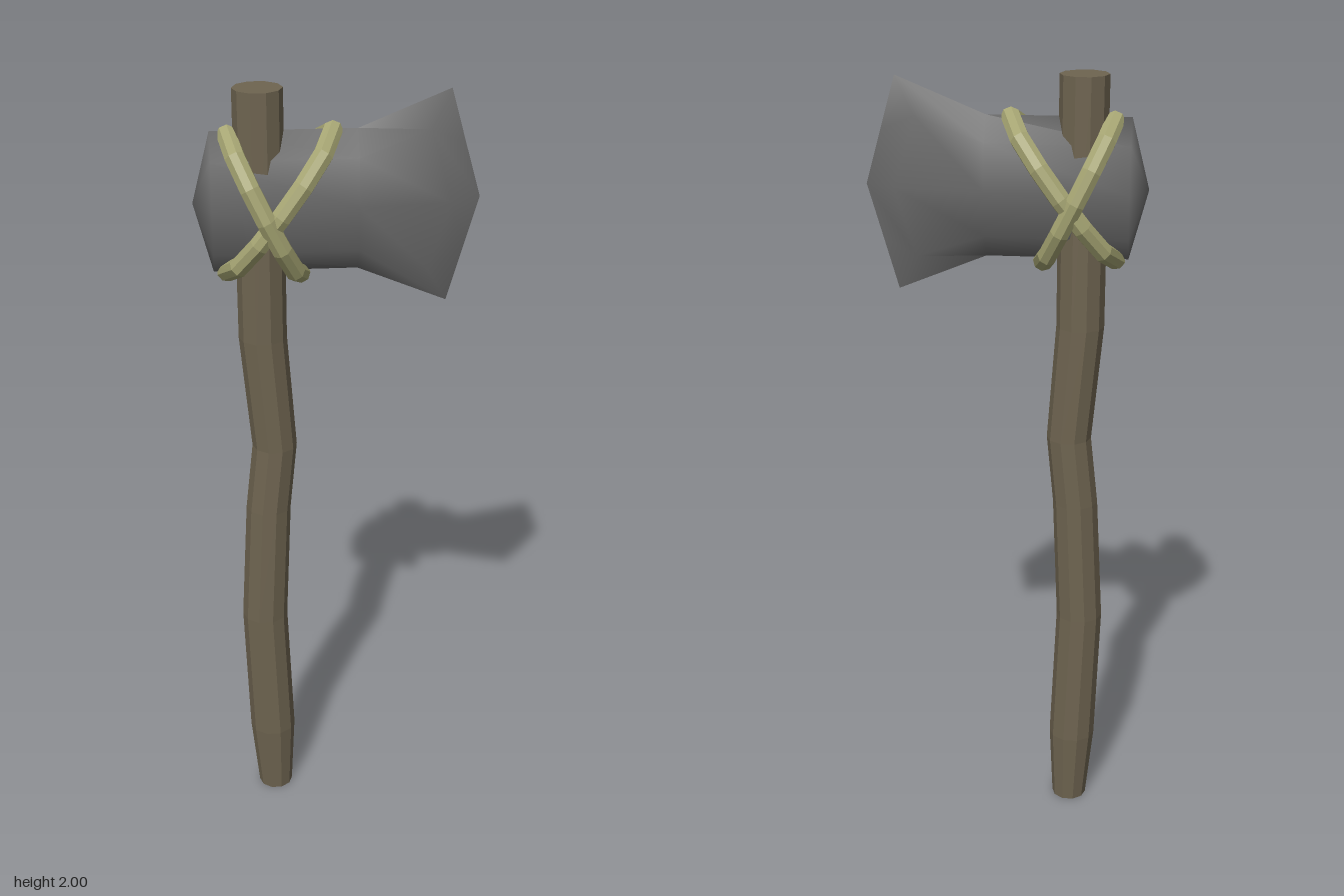
import * as THREE from 'three';
import { toCreasedNormals } from 'three/addons/utils/BufferGeometryUtils.js';

const wood = new THREE.MeshStandardMaterial({ color: 0x6e6450, flatShading: true });
const stone = new THREE.MeshStandardMaterial({ color: 0x696969 });
const cord = new THREE.MeshStandardMaterial({ color: 0xa6a573, flatShading: true });

function addMesh(group, name, geometry, material) {
  const mesh = new THREE.Mesh(geometry, material);
  mesh.name = name;
  group.add(mesh);
}

// Crooked ten-sided stick: each ring is [height, centre x, radius]
function handleGeometry() {
  const rings = [
    [0, -0.177, 0.046], [0.2, -0.182, 0.061], [0.57, -0.196, 0.06], [0.9, -0.18, 0.058],
    [1.08, -0.161, 0.057], [1.38, -0.185, 0.06], [2, -0.185, 0.06],
  ];
  const n = rings.length - 1;
  const geo = new THREE.CylinderGeometry(1, 1, 1, 10, n, false, Math.PI / 2);
  const pos = geo.attributes.position;
  for (let i = 0; i < pos.count; i++) {
    const [y, cx, r] = rings[Math.round((pos.getY(i) + 0.5) * n)];
    pos.setXYZ(i, cx + pos.getX(i) * r, y, pos.getZ(i) * r);
  }
  geo.computeVertexNormals();
  return geo;
}

// Stone head: lens-shaped sections from the poll to the cutting edge.
// Each holds five [x, y, z] points down the front; the back mirrors them.
function headGeometry() {
  const midY = 1.727;
  const section = (ridge, shoulder, middle) => {
    const down = ([x, y, z]) => [x, 2 * midY - y, z];
    const front = [ridge, shoulder, middle, down(shoulder), down(ridge)];
    const back = [3, 2, 1].map((i) => [front[i][0], front[i][1], -front[i][2]]);
    return [...front, ...back];
  };
  const poll = [-0.345, midY, 0];
  const rings = [
    section(poll, poll, poll),
    section([-0.3, 1.9, 0], [-0.3, 1.84, 0.055], [-0.3, midY, 0.076]),
    section([0.05, 1.9, 0], [0.05, 1.84, 0.046], [0.05, midY, 0.066]),
    section([0.27, 1.99, 0], [0.22, 1.9, 0.027], [0.27, midY, 0.045]),
    section([0.27, 1.99, 0], [0.307, 1.86, 0], [0.345, midY, 0]),
  ];
  const n = rings[0].length;
  const index = [];
  for (let i = 0; i < rings.length - 1; i++) {
    for (let j = 0; j < n; j++) {
      const k = (j + 1) % n;
      const a = i * n + j, b = i * n + k, c = b + n, d = a + n;
      index.push(a, b, c, a, c, d);
    }
  }
  const geo = new THREE.BufferGeometry();
  geo.setAttribute('position', new THREE.Float32BufferAttribute(rings.flat(2), 3));
  geo.setIndex(index);
  return toCreasedNormals(geo, 1.75);
}

// Oval cord loop, tilted in the xy plane between its upper and lower ends
function loopGeometry(upper, lower, depth) {
  const top = new THREE.Vector3(...upper, 0);
  const bottom = new THREE.Vector3(...lower, 0);
  const centre = top.clone().add(bottom).multiplyScalar(0.5);
  const half = top.clone().sub(centre);
  const points = [];
  for (let i = 0; i < 12; i++) {
    const t = (i / 12) * Math.PI * 2;
    const p = centre.clone().addScaledVector(half, Math.cos(t));
    p.z = Math.sin(t) * depth;
    points.push(p);
  }
  const curve = new THREE.CatmullRomCurve3(points, true);
  return new THREE.TubeGeometry(curve, 12, 0.025, 8, true);
}

export function createModel() {
  const group = new THREE.Group();
  group.name = 'stoneAxe';
  addMesh(group, 'handle', handleGeometry(), wood);
  addMesh(group, 'axeHead', headGeometry(), stone);
  addMesh(group, 'bindingSteep', loopGeometry([-0.258, 1.89], [-0.09, 1.543], 0.123), cord);
  addMesh(group, 'bindingSlanted', loopGeometry([-0.01, 1.895], [-0.268, 1.552], 0.115), cord);
  return group;
}
